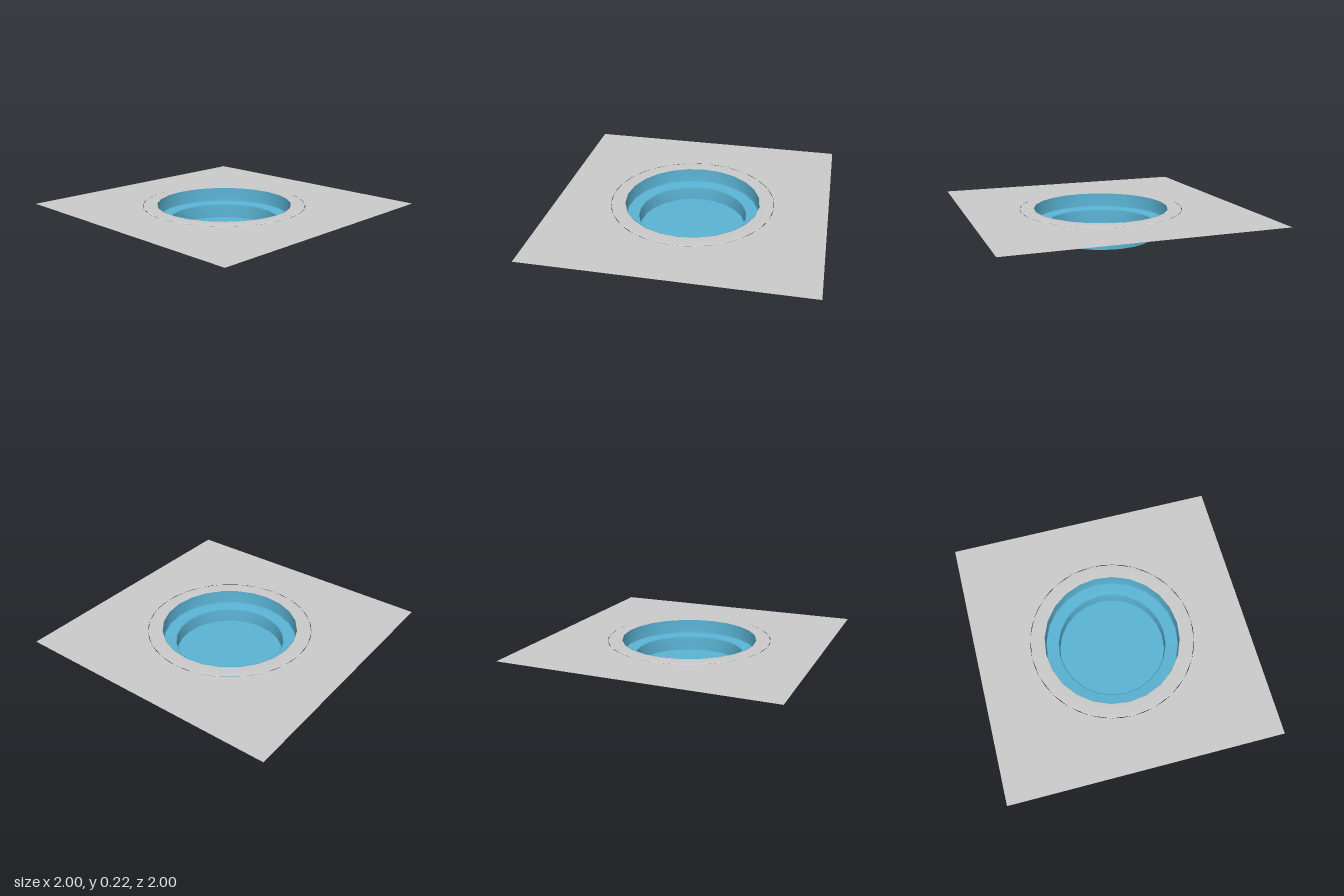
import * as THREE from 'three';

const SEGMENTS = 24;
const TOP = 0.22;

export function createModel() {
  const group = new THREE.Group();
  const grey = new THREE.MeshStandardMaterial({ color: 0xcccccc, side: THREE.DoubleSide });
  const blue = new THREE.MeshStandardMaterial({ color: 0x5bb4d5, side: THREE.DoubleSide });

  const add = (name, geometry, material, y = 0) => {
    const mesh = new THREE.Mesh(geometry, material);
    mesh.name = name;
    mesh.position.y = y;
    group.add(mesh);
  };
  const lathe = (profile) =>
    new THREE.LatheGeometry(profile.map(([r, y]) => new THREE.Vector2(r, y)), SEGMENTS);

  // Thin square ground sheet with a round opening
  const sheet = new THREE.Shape([[-1, -1], [1, -1], [1, 1], [-1, 1]].map(([x, y]) => new THREE.Vector2(x, y)));
  sheet.holes.push(new THREE.Path().absarc(0, 0, 0.607, 0, Math.PI * 2, true));
  add('groundSheet', new THREE.ShapeGeometry(sheet, SEGMENTS).rotateX(-Math.PI / 2), grey, TOP - 0.004);

  // Slightly raised rim around the opening, softly shaded
  add('rim', lathe([[0.607, TOP - 0.004], [0.6, TOP], [0.505, TOP], [0.5, TOP - 0.004]]), grey);

  // Stepped basin wall: upper wall, ledge and lower wall
  add('basinWall', lathe([
    [0.5, TOP], [0.5, 0.118], [0.493, 0.11], [0.407, 0.11], [0.4, 0.1], [0.4, 0],
  ]), blue);

  // Flat basin floor
  add('basinFloor', new THREE.CircleGeometry(0.4, SEGMENTS).rotateX(-Math.PI / 2), blue);

  return group;
}
